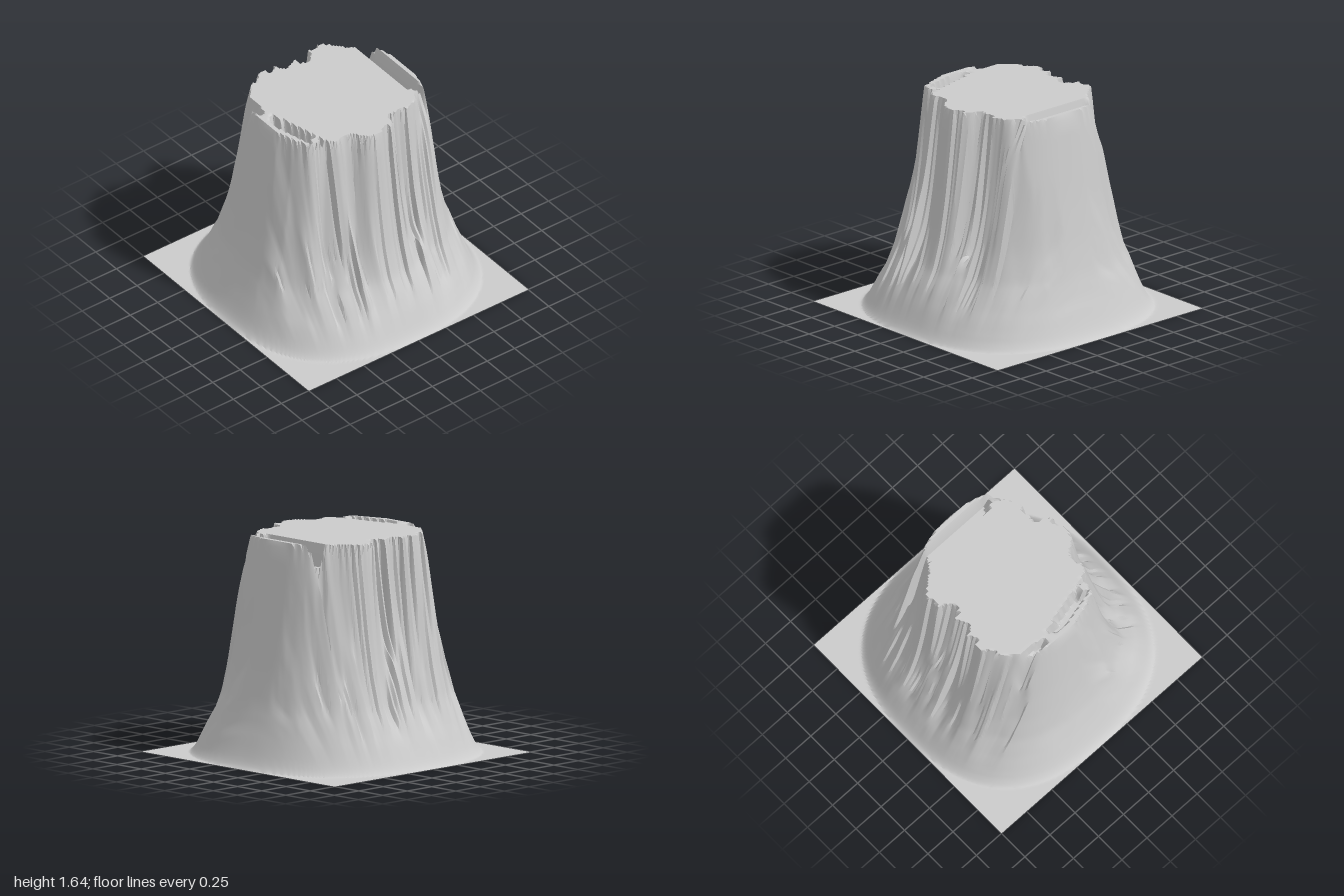
import * as THREE from 'three';
import { toCreasedNormals } from 'three/addons/utils/BufferGeometryUtils.js';

const { lerp, clamp, smoothstep } = THREE.MathUtils;
const TOP = 1.64;
// slope profile: [distance from centre, height]
const PROFILE = [[0.62, TOP], [0.67, 1.27], [0.71, 0.98], [0.76, 0.68], [0.81, 0.45],
  [0.87, 0.265], [0.92, 0.13], [0.95, 0.06], [0.975, 0.02], [0.995, 0]];
// how far the rim is worn back, every 22.5 degrees from +x towards +z
const WEAR = [0, 0.01, 0.06, 0.12, 0.05, 0.11, 0.09, 0.01, 0, 0, 0.01, 0.04, 0.09, 0.05, 0.02, 0];

function slopeHeight(r) {
  if (r <= PROFILE[0][0]) return TOP;
  for (let i = 1; i < PROFILE.length; i++) {
    const [r0, h0] = PROFILE[i - 1], [r1, h1] = PROFILE[i];
    if (r <= r1) return h0 + (h1 - h0) * (r - r0) / (r1 - r0);
  }
  return 0;
}

function wearAt(x, z) {
  const a = (Math.atan2(z, x) / (Math.PI / 8) + 16) % 16;
  const i = Math.floor(a);
  return lerp(WEAR[i], WEAR[(i + 1) % 16], a - i);
}

// seeded value noise
function hash(i, j) {
  const s = Math.sin(i * 127.1 + j * 311.7 + 4.3) * 43758.5453;
  return s - Math.floor(s);
}
function noise(x, z) {
  const i = Math.floor(x), j = Math.floor(z);
  const u = smoothstep(x - i, 0, 1), v = smoothstep(z - j, 0, 1);
  return lerp(lerp(hash(i, j), hash(i + 1, j), u), lerp(hash(i, j + 1), hash(i + 1, j + 1), u), v);
}

// trench sunk into the plateau beside a side rim, running along z with ragged ends
function trench(x, z, column, centre, halfWidth, z0, z1, depth) {
  const across = 1 - smoothstep(Math.abs(x - centre), halfWidth - 0.02, halfWidth);
  const start = z0 + 0.12 * hash(column, 5), end = z1 - 0.12 * hash(column, 9);
  const along = smoothstep(z, start, start + 0.06) * (1 - smoothstep(z, end - 0.06, end));
  return depth * across * along;
}

function height(x, z) {
  // rounded-square footprint, narrower in z towards the top
  const p = 2.5;
  const r = Math.pow(Math.pow(Math.abs(x), p) + Math.pow(Math.abs(z), p), 1 / p);
  const climb = smoothstep(0.97 - r, 0, 0.42);
  const facing = smoothstep(Math.abs(z) / (Math.abs(x) + Math.abs(z) + 1e-6), 0.1, 0.8);
  // upright gullies in narrow columns, slow to change along z
  const column = Math.floor(x * 32 + 1e-6);
  const n = 0.35 * noise(x * 9 + 20, z * 2.5 + 7) + 0.65 * noise(column * 0.6 + 50, z * 4 + 3);
  const gully = clamp((n - 0.5) * 2.4, -1, 1) * lerp(0.04, 0.075, facing);
  const wear = Math.max(0, wearAt(x, z) + gully) + 0.03 * facing;
  const sunk = trench(x, z, column, 0.515, 0.055, -0.5, 0.34, 0.17)
    + trench(x, z, column, -0.52 + 0.25 * Math.max(0, z - 0.05), 0.05, -0.12, 0.42, 0.15)
    + trench(x, z, column, -0.55, 0.035, -0.48, -0.1, 0.12);
  return Math.max(0, slopeHeight(r + climb * wear) - sunk);
}

export function createModel() {
  const group = new THREE.Group();
  // open terrain sheet: flat square skirt rising to a clipped plateau
  const plane = new THREE.PlaneGeometry(2, 2, 128, 128).rotateX(-Math.PI / 2);
  const pos = plane.attributes.position;
  for (let i = 0; i < pos.count; i++) pos.setY(i, height(pos.getX(i), pos.getZ(i)));
  plane.deleteAttribute('uv');
  const terrain = new THREE.Mesh(
    toCreasedNormals(plane, 0.6),
    new THREE.MeshStandardMaterial({ color: 0xcccccc, side: THREE.DoubleSide }));
  terrain.name = 'plateauMountain';
  group.add(terrain);
  return group;
}
